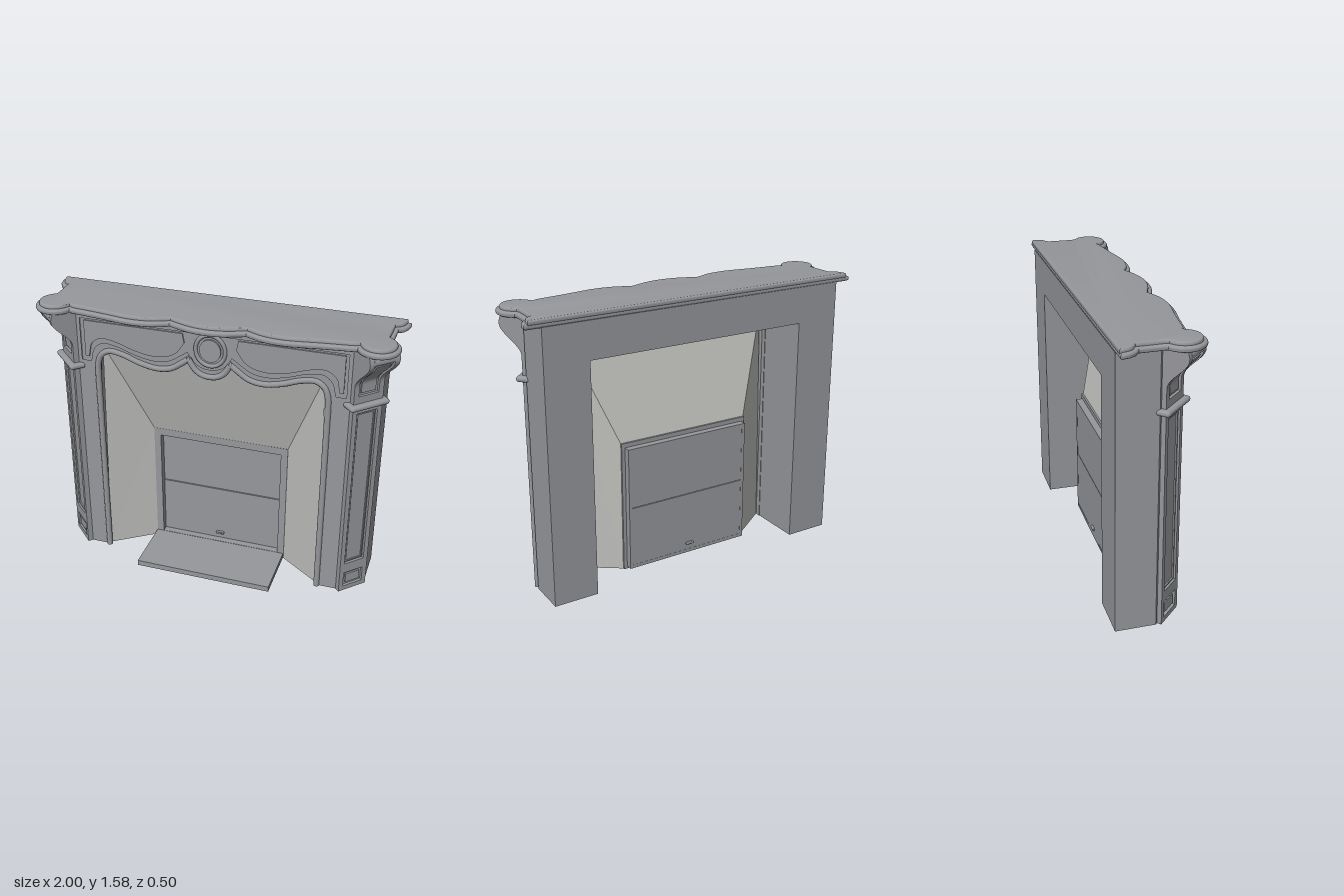
import * as THREE from 'three';
import { toCreasedNormals } from 'three/addons/utils/BufferGeometryUtils.js';
import { RoundedBoxGeometry } from 'three/addons/geometries/RoundedBoxGeometry.js';

const stone = new THREE.MeshStandardMaterial({ color: 0x96979b });
stone.name = 'grey stone';
const lining = new THREE.MeshStandardMaterial({ color: 0xbebebb, side: THREE.DoubleSide });
lining.name = 'pale lining';

const v2 = (a) => a.map(([x, y]) => new THREE.Vector2(x, y));
const poly = (a) => new THREE.Shape(v2(a));
const rect = (x0, y0, x1, y1) => [[x0, y0], [x1, y0], [x1, y1], [x0, y1]];
const mirror = (a) => a.map(([x, y]) => [-x, y]);

function add(parent, name, geo, x = 0, y = 0, z = 0, mat = stone) {
  const m = new THREE.Mesh(geo, mat);
  m.name = name;
  m.position.set(x, y, z);
  parent.add(m);
  return m;
}
const box = (parent, name, x0, x1, y0, y1, z0, z1) =>
  add(parent, name, new THREE.BoxGeometry(x1 - x0, y1 - y0, z1 - z0), (x0 + x1) / 2, (y0 + y1) / 2, (z0 + z1) / 2);

// Straight-walled plate facing +z, with optional cut-outs
function plate(outline, depth, holes = []) {
  const s = poly(outline);
  holes.forEach((h) => s.holes.push(new THREE.Path(v2(h))));
  return new THREE.ExtrudeGeometry(s, { depth, bevelEnabled: false });
}
// Smooth line through a few points
function smooth(pts, n) {
  const c = new THREE.CatmullRomCurve3(pts.map(([x, y]) => new THREE.Vector3(x, y, 0)));
  return c.getPoints(n).map((p) => [p.x, p.y]);
}

// Scalloped arch: right shoulder down to the cusp, and the middle lobe
const shoulderKeys = [[0.652, 1.17], [0.648, 1.24], [0.627, 1.295], [0.58, 1.325], [0.5, 1.315], [0.4, 1.28],
  [0.3, 1.262], [0.22, 1.275], [0.165, 1.31], [0.118, 1.345]];
const lobeKeys = [[0.118, 1.345], [0.08, 1.288], [0.04, 1.263], [0, 1.257], [-0.04, 1.263], [-0.08, 1.288], [-0.118, 1.345]];
const shoulder = smooth(shoulderKeys, 40);
const lobe = smooth(lobeKeys, 24);
const archTop = [...shoulder, ...lobe.slice(1, -1), ...mirror(shoulder).reverse()];

// Outward swell of the corner console at height y
function swell(y) {
  const t = THREE.MathUtils.smoothstep(y, 1.335, 1.495);
  return 0.112 * t - 0.012 * THREE.MathUtils.smoothstep(y, 1.51, 1.54);
}
function consoleSlice(width, offset, y0, y1) {
  const pts = [[-0.1, y1], [-0.1, y0]];
  for (let i = 0; i <= 18; i++) {
    const y = y0 + ((y1 - y0) * i) / 18;
    pts.push([swell(y) + offset, y]);
  }
  const g = plate(pts, width);
  g.rotateY(-Math.PI / 2).translate(width / 2, 0, 0);
  return toCreasedNormals(g, 0.5);
}

// Angled corner pilaster with sunk panels, collar and console
function cornerPilaster(side) {
  const g = new THREE.Group();
  g.name = side > 0 ? 'leftPilaster' : 'rightPilaster';
  const h = 0.092, p = 0.064;
  add(g, 'pilasterFace', plate(rect(-h, 0, h, 1.21), 0.035,
    [rect(-p, 0.19, p, 1.17), rect(-p, 0.03, p, 0.125)]), 0, 0, -0.035);
  box(g, 'pilasterBack', -h + 0.004, h - 0.004, 0.002, 1.2, -0.06, -0.016);
  add(g, 'panelBead', plate(rect(-0.057, 0.197, 0.057, 1.163), 0.008, [rect(-0.05, 0.204, 0.05, 1.156)]), 0, 0, -0.016);
  box(g, 'plinthBlock', -0.046, 0.046, 0.048, 0.107, -0.02, -0.005);
  add(g, 'collar', new RoundedBoxGeometry(0.24, 0.032, 0.09, 4, 0.0155), 0, 1.213, -0.015);
  // Console: sunk core, side rails, end bars and raised inner panel
  add(g, 'consoleCore', consoleSlice(0.17, -0.015, 1.22, 1.54));
  for (const s of [-1, 1]) add(g, 'consoleRail', consoleSlice(0.03, 0, 1.22, 1.54), s * (h - 0.015));
  add(g, 'consoleFoot', consoleSlice(0.13, 0, 1.22, 1.27));
  add(g, 'consoleHead', consoleSlice(0.13, 0, 1.495, 1.54));
  add(g, 'consolePanel', consoleSlice(0.09, -0.006, 1.285, 1.48));
  g.position.set(side * 0.8525, 0, 0.0625);
  g.rotation.y = (side * Math.PI) / 4;
  return g;
}

// Plan of the mantel shelf, as [x, z]
function shelfPlan(back) {
  const half = [[1, back], [1, -0.235], [0.993, -0.2], [0.975, -0.168], [0.945, -0.148], [0.942, -0.02]];
  for (let i = 0; i <= 20; i++) {
    const a = -1.02 + (i / 20) * 3.68;
    half.push([0.886 + 0.112 * Math.cos(a), 0.086 + 0.112 * Math.sin(a)]);
  }
  half.push(...smooth([[0.775, 0.143], [0.6, 0.165], [0.42, 0.19], [0.3, 0.178], [0.21, 0.142]], 18));
  const mid = smooth([[0.21, 0.142], [0.1, 0.181], [0, 0.194], [-0.1, 0.181], [-0.21, 0.142]], 16);
  return [...half, ...mid.slice(1, -1), ...mirror(half).reverse()];
}
function shelfLayer(inset, y0, y1, r) {
  const s = poly(shelfPlan(-0.25 - inset).map(([x, z]) => [x, -z]));
  const g = new THREE.ExtrudeGeometry(s, {
    depth: y1 - y0 - 2 * r, bevelThickness: r, bevelSize: r, bevelOffset: -r - inset, bevelSegments: 4,
  });
  g.rotateX(-Math.PI / 2).translate(0, y0 + r, 0);
  return toCreasedNormals(g, 0.6);
}

// Splayed lining between the arch and the firebox
function liningGeometry() {
  const o = [[-0.65, 0, 0.09], [-0.625, 1.345, 0.085], [0.625, 1.345, 0.085], [0.65, 0, 0.09]];
  const n = [[-0.405, 0, -0.08], [-0.405, 0.77, -0.08], [0.405, 0.77, -0.08], [0.405, 0, -0.08]];
  const pos = [];
  for (let i = 0; i < 3; i++) {
    for (const p of [o[i], n[i], n[i + 1], o[i], n[i + 1], o[i + 1]]) pos.push(...p);
  }
  const g = new THREE.BufferGeometry();
  g.setAttribute('position', new THREE.Float32BufferAttribute(pos, 3));
  g.computeVertexNormals();
  return g;
}

export function createModel() {
  const root = new THREE.Group();
  root.name = 'fireplace';

  // Legs and lintel
  const legPlan = [[0.655, 0.25], [0.91, 0.25], [0.91, 0.03], [0.775, -0.1], [0.765, -0.09], [0.655, -0.09]];
  for (const s of [1, -1]) {
    const leg = plate(s > 0 ? legPlan : mirror(legPlan), 1.537).rotateX(-Math.PI / 2);
    add(root, s > 0 ? 'leftLeg' : 'rightLeg', leg);
    root.add(cornerPilaster(s));
  }
  box(root, 'lintel', -0.655, 0.655, 1.33, 1.537, -0.25, 0.075);

  // Front plate cut by the arch, with a sunk frieze
  const front = [[0.652, 0], ...archTop, [-0.652, 0], [-0.772, 0], [-0.772, 1.537], [0.772, 1.537], [0.772, 0]];
  add(root, 'frontPlate', plate(front, 0.03), 0, 0, 0.06);
  const rise = archTop.filter((p) => p[1] > 1.25).map(([x, y]) => [x * 1.055, y + 0.042]);
  const sunk = [[0.745, 1.5], [0.745, 1.25], [0.69, 1.25], ...rise, [-0.69, 1.25], [-0.745, 1.25], [-0.745, 1.5]];
  add(root, 'friezeFrame', plate(front, 0.016, [sunk]), 0, 0, 0.09);

  // Raised spandrel panels and oval medallion
  const edge = shoulder.filter((p) => p[1] > 1.27 || p[0] < 0.5).filter((p) => p[0] > 0.17)
    .map(([x, y]) => [x * 1.085, y + 0.063]);
  const spandrel = [[0.727, 1.27], [0.705, 1.27], ...edge, [0.145, 1.43], [0.155, 1.485], [0.727, 1.485]];
  add(root, 'spandrelPanel', plate(spandrel, 0.009), 0, 0, 0.089);
  add(root, 'spandrelPanel', plate(mirror(spandrel), 0.009), 0, 0, 0.089);
  const ring = new THREE.TorusGeometry(0.09, 0.012, 8, 40);
  add(root, 'medallionRing', ring, 0, 1.405, 0.092).scale.set(0.92, 1, 1);
  const disc = new THREE.CylinderGeometry(0.065, 0.065, 0.016, 40).rotateX(Math.PI / 2);
  add(root, 'medallion', disc, 0, 1.405, 0.092).scale.set(0.92, 1, 1);

  // Rounded moulding along the arch, meeting in two cusps
  const mould = (keys, n) => new THREE.TubeGeometry(
    new THREE.CatmullRomCurve3(keys.map(([x, y]) => new THREE.Vector3(x, y, 0.106))), n, 0.017, 10);
  const run = [[0.652, 0], [0.652, 0.4], [0.652, 0.8], [0.652, 1.08], ...shoulderKeys];
  add(root, 'archMoulding', mould(run, 90));
  add(root, 'archMoulding', mould(mirror(run), 90));
  add(root, 'archMoulding', mould(lobeKeys, 30));
  for (const s of [-1, 1]) add(root, 'archCusp', new THREE.ConeGeometry(0.016, 0.036, 10), s * 0.118, 1.35, 0.106);

  // Mantel shelf in two rounded steps
  add(root, 'shelfLower', shelfLayer(0, 1.532, 1.562, 0.013));
  add(root, 'shelfUpper', shelfLayer(0.02, 1.55, 1.58, 0.01));

  // Lining, firebox frame, doors and hearth
  add(root, 'lining', liningGeometry(), 0, 0, 0, lining);
  const hole = rect(-0.365, 0.035, 0.365, 0.725);
  add(root, 'fireboxFrame', plate(rect(-0.405, 0, 0.405, 0.77), 0.012, [hole]), 0, 0, -0.091);
  add(root, 'fireboxSurround', plate(rect(-0.385, 0.015, 0.385, 0.745), 0.04, [hole]), 0, 0, -0.13);
  box(root, 'upperDoor', -0.37, 0.37, 0.392, 0.73, -0.129, -0.122);
  box(root, 'lowerDoor', -0.37, 0.37, 0.03, 0.388, -0.129, -0.119);
  add(root, 'handle', new RoundedBoxGeometry(0.05, 0.014, 0.04, 2, 0.005), -0.008, 0.075, -0.122);
  box(root, 'hearth', -0.407, 0.402, 0, 0.033, -0.085, 0.255);
  return root;
}
